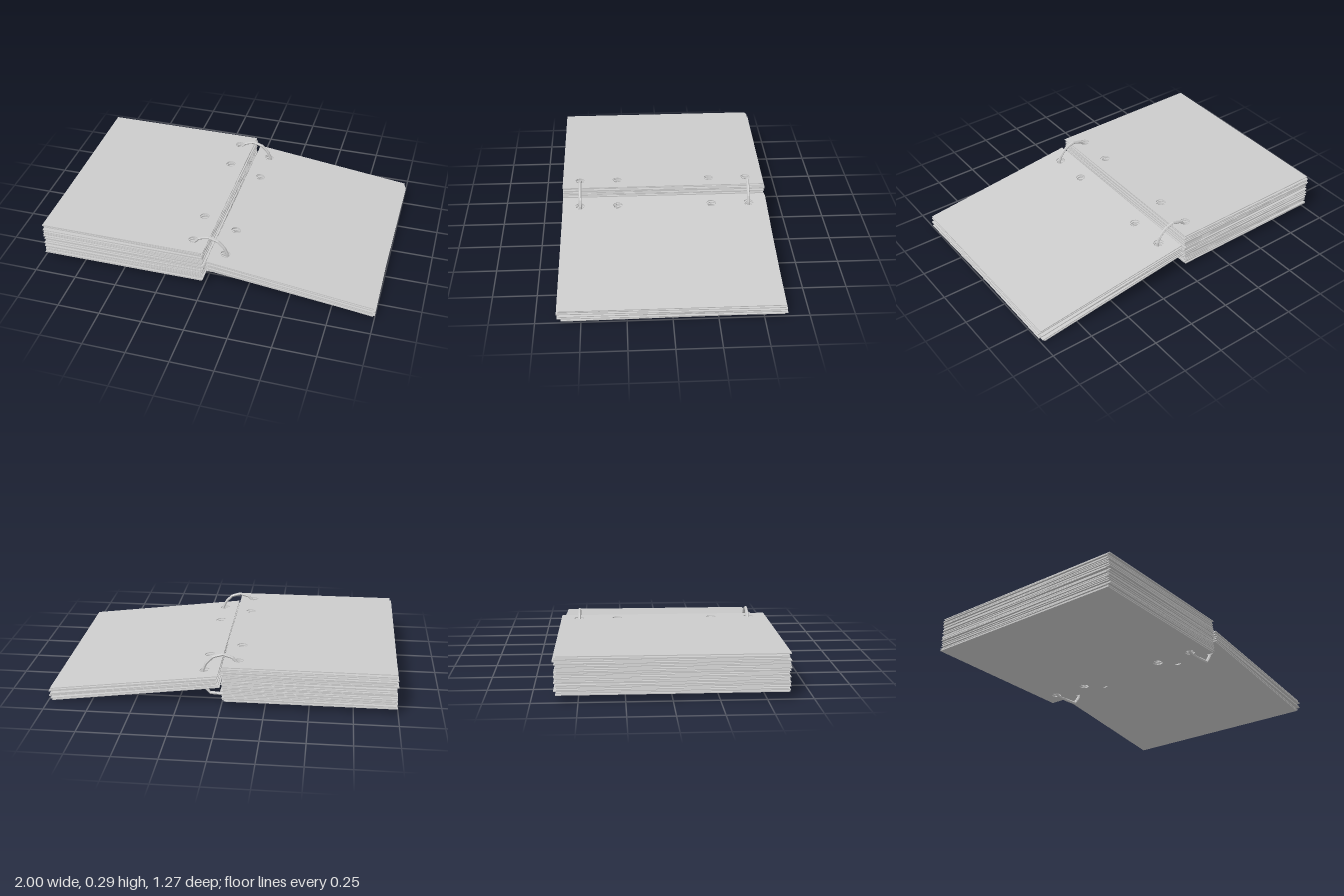
import * as THREE from 'three';

const material = new THREE.MeshStandardMaterial({ color: 0xcccccc, flatShading: true, side: THREE.DoubleSide });

// small seeded generator, returns -1..1
function seeded(seed) {
  let s = seed;
  return () => {
    s = (s * 16807) % 2147483647;
    return (s / 2147483647) * 2 - 1;
  };
}

// one punched sheet lying flat, running from the spine out to side * 0.985
function sheetGeometry(side, thickness) {
  const x0 = side * 0.005, x1 = side * 0.985, h = 0.621;
  const shape = new THREE.Shape();
  shape.moveTo(x0, -h);
  shape.lineTo(x1, -h);
  shape.lineTo(x1, h);
  shape.lineTo(x0, h);
  shape.closePath();
  for (const z of [-0.515, -0.285, 0.285, 0.515]) {
    const hole = new THREE.Path();
    hole.absarc(side * 0.09, z, 0.029, 0, Math.PI * 2, true);
    shape.holes.push(hole);
  }
  const geometry = new THREE.ExtrudeGeometry(shape, { depth: thickness, bevelEnabled: false, curveSegments: 12 });
  return geometry.rotateX(-Math.PI / 2);
}

// pile of sheets, each slightly shifted and turned about the spine
function sheetStack(name, side, count, height, seed) {
  const group = new THREE.Group();
  group.name = name;
  const random = seeded(seed);
  const pitch = height / count;
  const geometry = sheetGeometry(side, pitch * 0.65);
  for (let i = 0; i < count; i++) {
    const sheet = new THREE.Mesh(geometry, material);
    sheet.name = 'sheet';
    const last = i === count - 1;
    sheet.position.set(random() * 0.006, i * pitch + (last ? pitch * 0.35 : 0), random() * 0.004);
    sheet.rotation.y = random() * 0.012;
    group.add(sheet);
  }
  return group;
}

// faceted binder ring threaded through both stacks
function binderRing(z) {
  const points = [
    [0, 0.284], [0.055, 0.268], [0.095, 0.228], [0.113, 0.185], [0.113, 0.095], [0.075, 0.042], [0, 0.037],
    [-0.08, 0.037], [-0.112, 0.052], [-0.112, 0.1], [-0.105, 0.16], [-0.09, 0.225], [-0.055, 0.268],
  ].map(([x, y]) => new THREE.Vector3(x, y, 0));
  const path = new THREE.CurvePath();
  points.forEach((p, i) => path.add(new THREE.LineCurve3(p, points[(i + 1) % points.length])));
  const ring = new THREE.Mesh(new THREE.TubeGeometry(path, 40, 0.009, 6, true), material);
  ring.name = 'binderRing';
  ring.position.z = z;
  return ring;
}

export function createModel() {
  const model = new THREE.Group();
  model.name = 'ringBinderPad';

  // thick flat pile
  const thick = sheetStack('thickStack', -1, 25, 0.21, 71);
  thick.position.set(-0.002, 0.04, 0);
  model.add(thick);

  // thin pile sloping down away from the spine
  const thin = sheetStack('thinStack', 1, 8, 0.07, 913);
  thin.position.set(0.012, 0.125, 0);
  thin.rotation.z = -0.125;
  model.add(thin);

  // rings
  for (const z of [-0.512, 0.515]) model.add(binderRing(z));

  return model;
}
